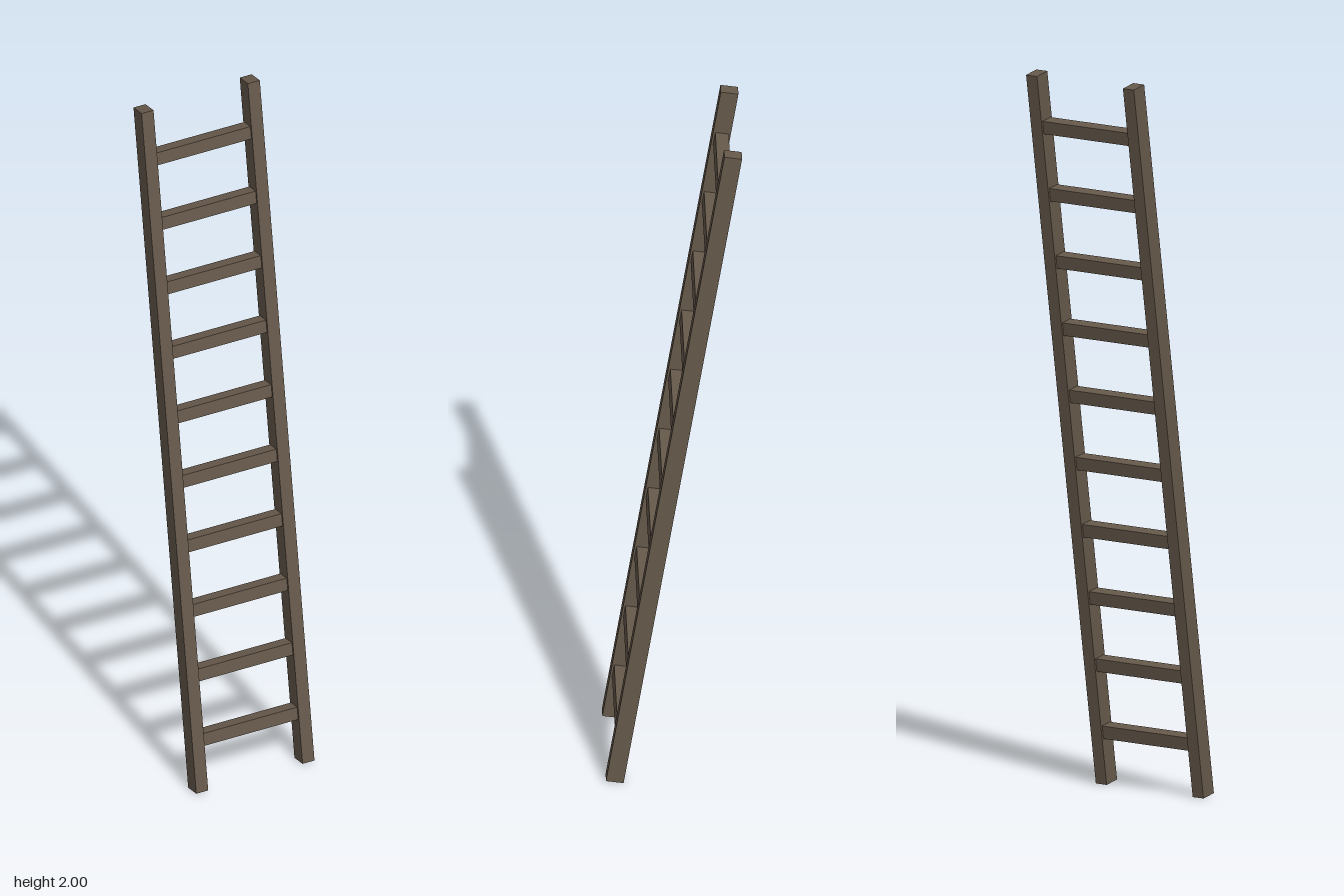
import * as THREE from 'three';

export function createModel() {
  const model = new THREE.Group();
  model.name = 'leaningLadder';
  const wood = new THREE.MeshStandardMaterial({ color: 0x66594b, flatShading: true });

  // the ladder is built upright, then leaned back
  const ladder = new THREE.Group();
  ladder.name = 'ladder';
  ladder.position.y = 1;
  ladder.rotation.x = -Math.atan(0.16);
  model.add(ladder);

  const addBeam = (name, w, h, d, x, y) => {
    const beam = new THREE.Mesh(new THREE.BoxGeometry(w, h, d), wood);
    beam.name = name;
    beam.position.set(x, y, 0);
    ladder.add(beam);
  };

  // side rails
  addBeam('leftRail', 0.036, 2.017, 0.048, 0.161, 0);
  addBeam('rightRail', 0.036, 2.017, 0.048, -0.161, 0);

  // rungs, evenly spaced between the rails
  const rungs = 10, spacing = 0.1913;
  for (let i = 0; i < rungs; i++) {
    addBeam(`rung${i + 1}`, 0.288, 0.0365, 0.0365, 0, (i - (rungs - 1) / 2) * spacing);
  }
  return model;
}
